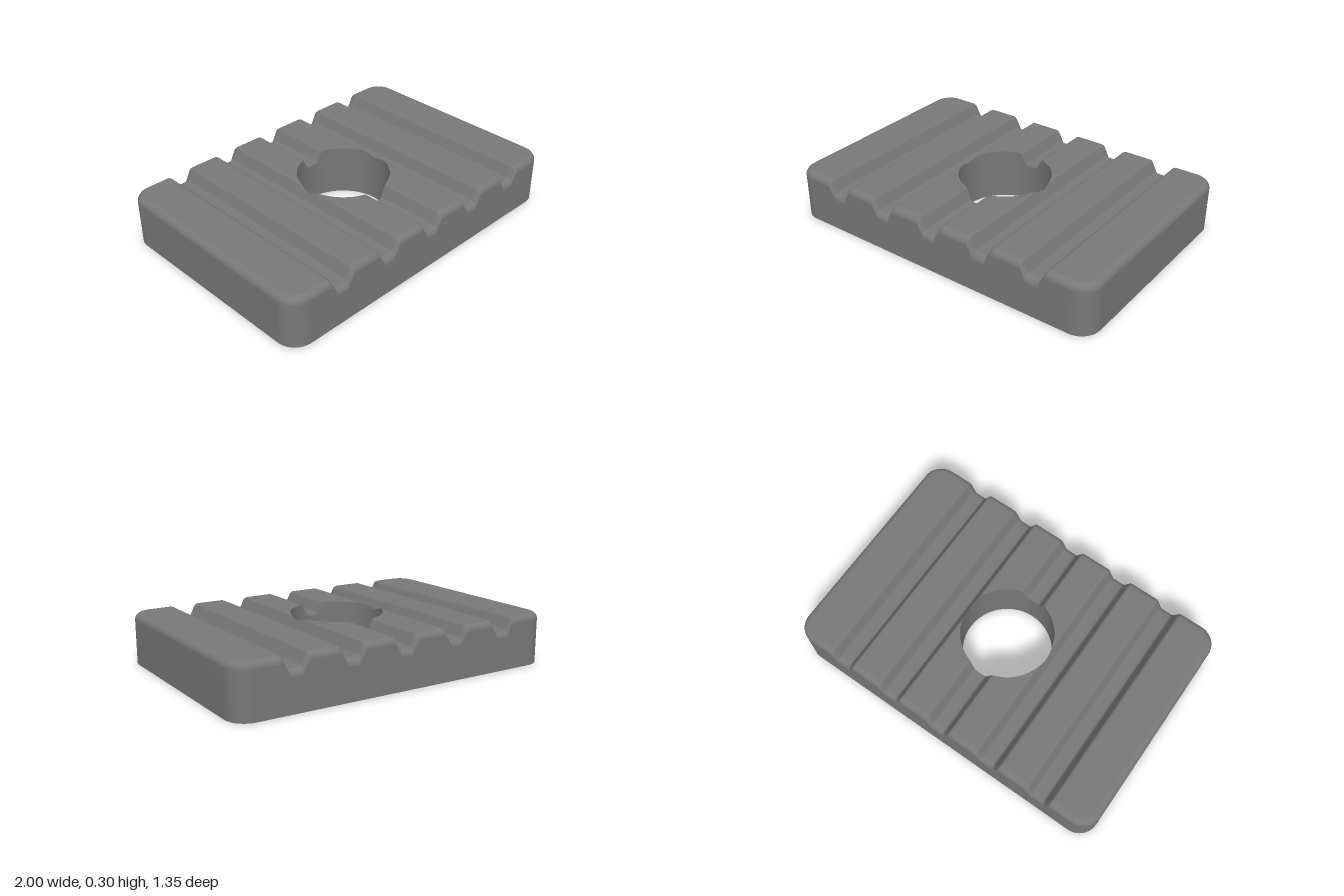
import * as THREE from 'three';
import { mergeVertices } from 'three/addons/utils/BufferGeometryUtils.js';

const HALF_X = 1, HALF_Z = 0.675, HEIGHT = 0.3;
const CORNER = 0.115, FILLET = 0.04, HOLE = 0.267;
const CX = HALF_X - CORNER, CZ = HALF_Z - CORNER, CORE = CORNER - FILLET;

// Half of a groove's cross-section: [offset from its centre, depth]
const GROOVE = [[0.028, 0.075], [0.036, 0.073], [0.042, 0.066], [0.048, 0.054],
  [0.067, 0.017], [0.072, 0.007], [0.078, 0.002], [0.086, 0]];
const CENTRES = [-2 / 3, -1 / 3, 0, 1 / 3, 2 / 3];

// Height of the grooved top at x
function topY(x) {
  const d = Math.min(...CENTRES.map((c) => Math.abs(x - c)));
  if (d <= GROOVE[0][0]) return HEIGHT - GROOVE[0][1];
  for (let i = 1; i < GROOVE.length; i++) {
    const [d0, h0] = GROOVE[i - 1], [d1, h1] = GROOVE[i];
    if (d <= d1) return HEIGHT - (h0 + (h1 - h0) * (d - d0) / (d1 - d0));
  }
  return HEIGHT;
}

// Columns across x: groove edges, hole steps and corner steps
function columns() {
  const xs = new Set();
  const add = (x) => xs.add(Number(x.toFixed(5)));
  for (const c of CENTRES) for (const [d] of GROOVE) { add(c - d); add(c + d); }
  for (let i = 0; i <= 32; i++) add(HOLE * Math.cos(i * Math.PI / 32));
  for (let i = 0; i <= 10; i++) {
    const x = CX + CORE * Math.sin(i * Math.PI / 20);
    add(x); add(-x);
  }
  return [...xs].sort((a, b) => a - b);
}

const holeZ = (x) => Math.sqrt(Math.max(0, HOLE * HOLE - x * x));

// Outline point of the flat top and its outward direction
function edge(x, side) {
  const nx = Math.sign(x) * Math.min(1, Math.max(0, Math.abs(x) - CX) / CORE);
  const nz = Math.sqrt(Math.max(0, 1 - nx * nx));
  return { x, z: side * (CZ + CORE * nz), nx, nz: side * nz };
}

function surface(build) {
  const pos = [];
  build((a, b, c, d) => pos.push(...a, ...b, ...c, ...a, ...c, ...d));
  let geo = new THREE.BufferGeometry();
  geo.setAttribute('position', new THREE.Float32BufferAttribute(pos, 3));
  geo = mergeVertices(geo, 1e-5);
  geo.computeVertexNormals();
  return geo;
}

export function createModel() {
  const group = new THREE.Group();
  group.name = 'groovedPad';
  const rubber = new THREE.MeshStandardMaterial({ color: 0x787878, side: THREE.DoubleSide });
  rubber.name = 'grey rubber';
  const xs = columns();

  // Open-bottomed shell: grooved top, rounded rim and side walls
  const shell = surface((quad) => {
    for (let i = 0; i < xs.length - 1; i++) {
      const p = xs[i], q = xs[i + 1], yp = topY(p), yq = topY(q);
      const zp = edge(p, 1).z, zq = edge(q, 1).z, hp = holeZ(p), hq = holeZ(q);
      quad([p, yp, hp], [p, yp, zp], [q, yq, zq], [q, yq, hq]);
      quad([p, yp, -zp], [p, yp, -hp], [q, yq, -hq], [q, yq, -zq]);
    }
    const loop = [...xs.map((x) => edge(x, 1)), ...xs.map((x) => edge(x, -1)).reverse()];
    const STEPS = 6;
    const point = (e, k) => {
      const a = Math.min(k / STEPS, 1) * Math.PI / 2, out = FILLET * Math.sin(a);
      const y = k > STEPS ? 0 : topY(e.x) - FILLET * (1 - Math.cos(a));
      return [e.x + e.nx * out, y, e.z + e.nz * out];
    };
    loop.forEach((e, i) => {
      const f = loop[(i + 1) % loop.length];
      for (let k = 0; k <= STEPS; k++) {
        quad(point(e, k), point(e, k + 1), point(f, k + 1), point(f, k));
      }
    });
  });

  // Round sleeve through the middle, cut to the grooves at its top
  const sleeve = surface((quad) => {
    const inside = xs.filter((x) => Math.abs(x) <= HOLE + 1e-6);
    for (let i = 0; i < inside.length - 1; i++) {
      const p = inside[i], q = inside[i + 1], yp = topY(p), yq = topY(q);
      const zp = holeZ(p), zq = holeZ(q);
      quad([p, yp, zp], [q, yq, zq], [q, 0, zq], [p, 0, zp]);
      quad([p, yp, -zp], [p, 0, -zp], [q, 0, -zq], [q, yq, -zq]);
    }
  });

  for (const [name, geo] of [['groovedShell', shell], ['centreSleeve', sleeve]]) {
    const mesh = new THREE.Mesh(geo, rubber);
    mesh.name = name;
    group.add(mesh);
  }
  return group;
}
